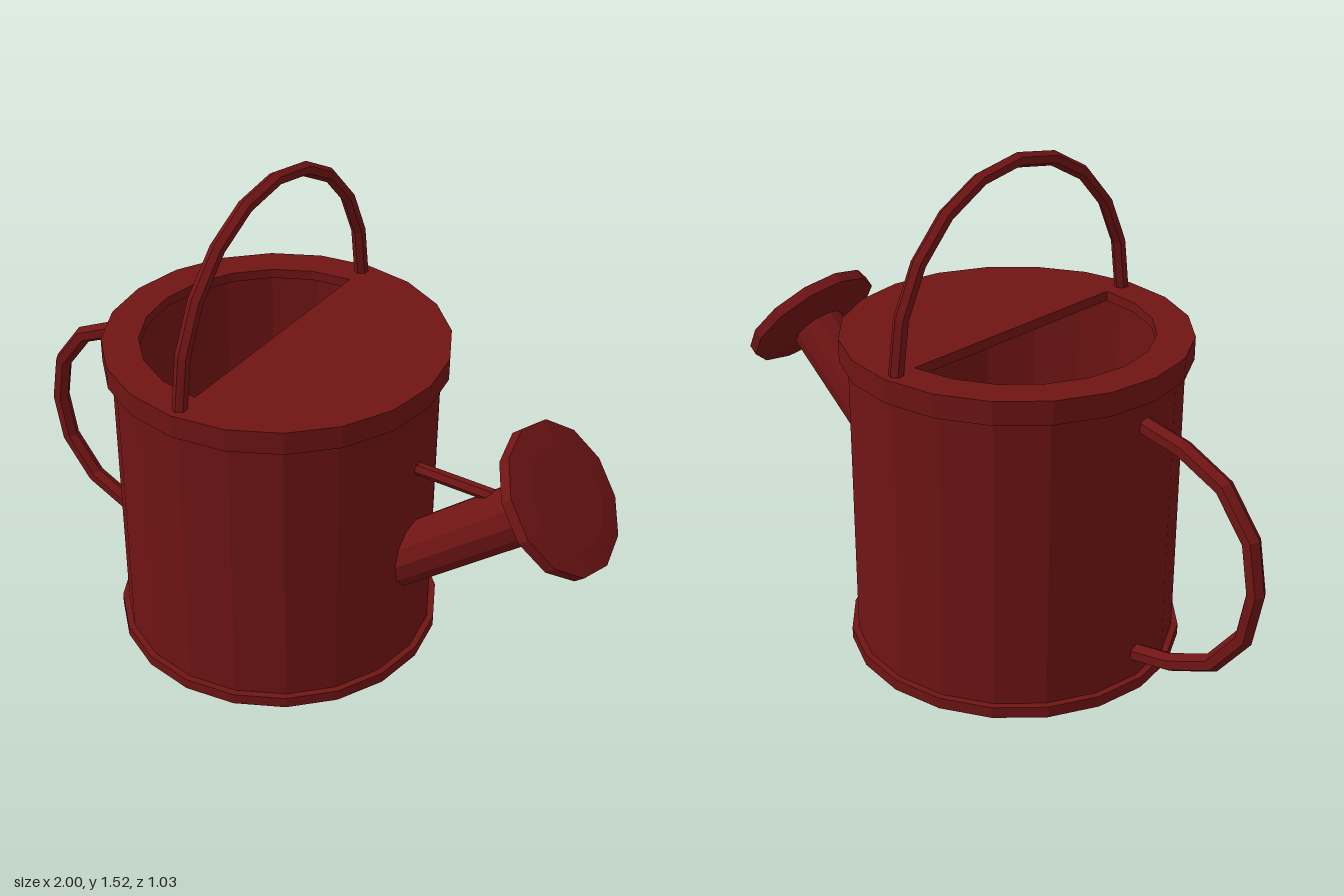
import * as THREE from 'three';

const CX = -0.09; // axis of the can
const material = new THREE.MeshStandardMaterial({ color: 0x701414, flatShading: true });
const bothSides = material.clone();
bothSides.side = THREE.DoubleSide;

function add(group, name, geometry, mat = material) {
  const mesh = new THREE.Mesh(geometry, mat);
  mesh.name = name;
  group.add(mesh);
  return mesh;
}

const lathe = (profile, sides) =>
  new THREE.LatheGeometry(profile.map(([r, y]) => new THREE.Vector2(r, y)), sides);

// Six-sided rod swept along a planar path; axis is the normal of that plane
function sweep(points, radius, axis) {
  const sides = 6, pos = [], index = [];
  points.forEach((p, i) => {
    const t = points[Math.min(i + 1, points.length - 1)].clone()
      .sub(points[Math.max(i - 1, 0)]).normalize();
    const n = t.cross(axis);
    for (let k = 0; k < sides; k++) {
      const a = (k / sides) * Math.PI * 2;
      const v = p.clone().addScaledVector(n, Math.cos(a) * radius)
        .addScaledVector(axis, Math.sin(a) * radius);
      pos.push(v.x, v.y, v.z);
    }
  });
  for (let i = 0; i < points.length - 1; i++) {
    for (let k = 0; k < sides; k++) {
      const a = i * sides + k, b = i * sides + (k + 1) % sides;
      index.push(a, a + sides, b, b, a + sides, b + sides);
    }
  }
  const g = new THREE.BufferGeometry();
  g.setAttribute('position', new THREE.Float32BufferAttribute(pos, 3));
  g.setIndex(index);
  g.computeVertexNormals();
  return g;
}

// Points of a circular arc from angle a0 to a1
function arc(radius, a0, a1, segments) {
  return Array.from({ length: segments + 1 }, (_, i) => {
    const a = a0 + (a1 - a0) * i / segments;
    return new THREE.Vector2(Math.cos(a) * radius, Math.sin(a) * radius);
  });
}

export function createModel() {
  const model = new THREE.Group();
  model.name = 'wateringCan';

  // Hollow body with base flange and top rim
  add(model, 'body', lathe([
    [0, 0], [0.51, 0], [0.51, 0.035], [0.49, 0.035], [0.49, 0.93], [0.515, 0.93],
    [0.515, 0.97], [0.47, 0.97], [0.47, 0.035], [0, 0.035],
  ], 20)).position.x = CX;

  // Lid with a half-round filling opening
  const lidShape = new THREE.Shape(arc(0.515, 0, Math.PI * 2, 20).slice(0, 20));
  lidShape.holes.push(new THREE.Path(arc(0.405, Math.PI / 2, Math.PI * 1.5, 10)));
  const lid = new THREE.ExtrudeGeometry(lidShape, { depth: 0.03, bevelEnabled: false });
  lid.rotateX(-Math.PI / 2);
  add(model, 'lid', lid).position.set(CX, 0.97, 0);

  // Arched carrying handle
  const arch = arc(1, 0, Math.PI, 10)
    .map((p) => new THREE.Vector3(CX, 1 + p.y * 0.498, p.x * 0.473));
  arch.unshift(new THREE.Vector3(CX, 0.98, 0.473));
  arch.push(new THREE.Vector3(CX, 0.98, -0.473));
  add(model, 'topHandle', sweep(arch, 0.022, new THREE.Vector3(1, 0, 0)), bothSides);

  // Side handle, mirrored about its middle height
  const upper = [[-0.565, 0.37], [-0.707, 0.342], [-0.847, 0.277], [-0.945, 0.15]];
  const loop = [...upper, [-0.972, 0], ...upper.map(([x, y]) => [x, -y]).reverse()]
    .map(([x, y]) => new THREE.Vector3(x, 0.48 + y, 0));
  add(model, 'sideHandle', sweep(loop, 0.028, new THREE.Vector3(0, 0, 1)), bothSides);

  // Spout and rose share one tilted axis, with the origin at the rose's face
  const spoutGroup = new THREE.Group();
  spoutGroup.name = 'spoutAssembly';
  spoutGroup.position.set(0.855, 0.79, 0);
  spoutGroup.rotation.z = THREE.MathUtils.degToRad(-50);
  model.add(spoutGroup);
  const length = 0.66;
  add(spoutGroup, 'spout', new THREE.CylinderGeometry(0.09, 0.09, length, 12))
    .position.y = -0.04 - length / 2;
  add(spoutGroup, 'rose', lathe([
    [0, -0.065], [0.09, -0.065], [0.225, -0.035], [0.225, 0], [0.15, 0.008], [0, 0.008],
  ], 12));

  // Brace between body and spout
  const brace = new THREE.CylinderGeometry(0.02, 0.02, 0.26, 6);
  brace.rotateZ(Math.PI / 2);
  add(model, 'spoutBrace', brace).position.set(0.515, 0.71, 0);

  return model;
}
